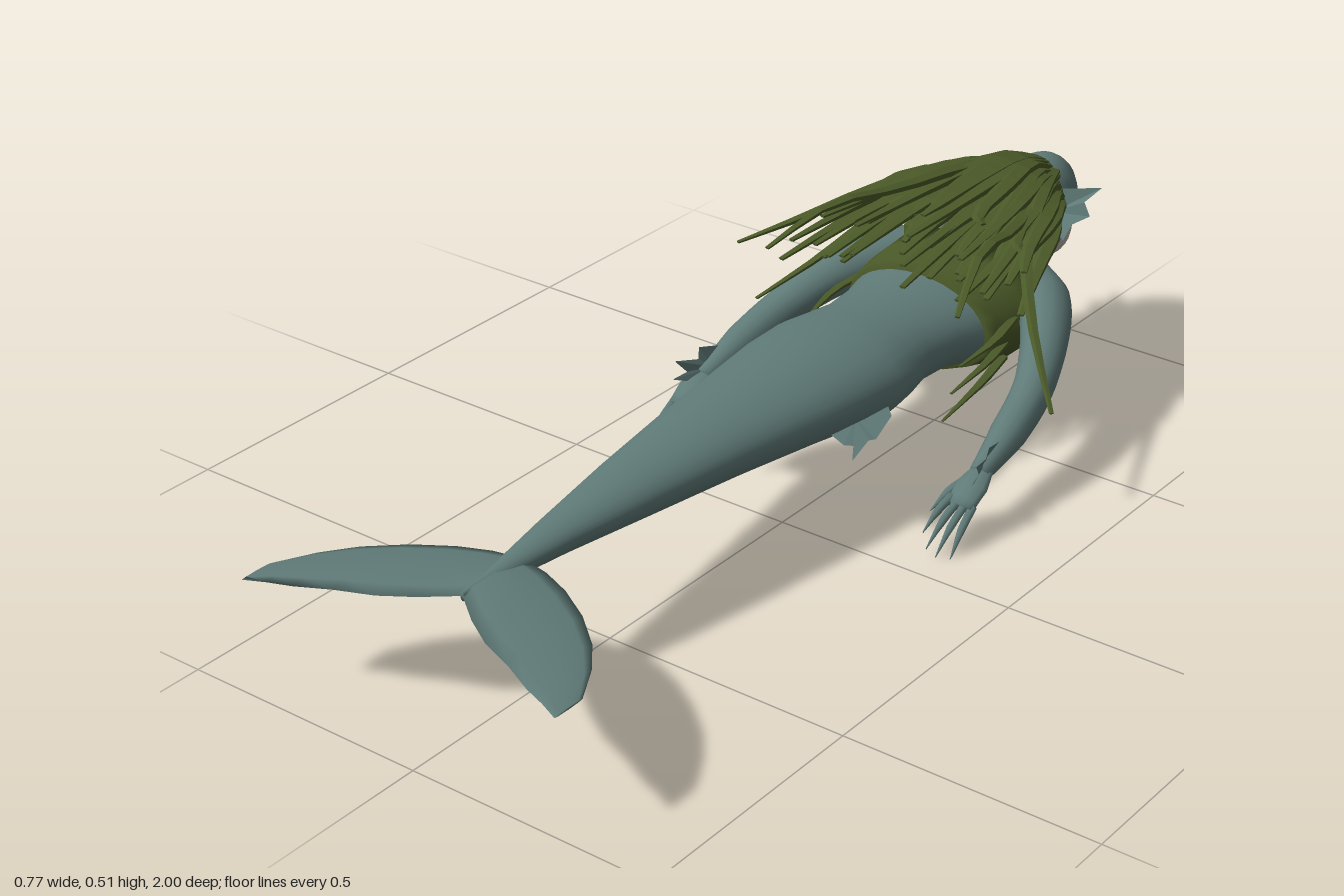
import * as THREE from 'three';

const V = (x, y, z) => new THREE.Vector3(x, y, z);
const paint = (name, color, side = THREE.FrontSide) => {
  const m = new THREE.MeshStandardMaterial({ color, side });
  m.name = name;
  return m;
};

export function createModel() {
  const skin = paint('sea skin', 0x5f7a77);
  const finSkin = paint('fin membrane', 0x5f7a77, THREE.DoubleSide);
  const weed = paint('seaweed', 0x4a5928);
  const pale = paint('pale face', 0xb9b3ac);

  const model = new THREE.Group();
  const figure = new THREE.Group();
  figure.name = 'figure';
  figure.position.x = -0.03; // the body sits a little off the middle
  model.add(figure);

  const add = (name, geometry, material, parent = figure) => {
    const mesh = new THREE.Mesh(geometry, material);
    mesh.name = name;
    parent.add(mesh);
    return mesh;
  };

  // Closed skin over elliptical rings; a station is { p, w, h, t }
  const sweep = (stations, sides, flat = false) => {
    const pos = [], idx = [], n = stations.length, up = V(0, 1, 0);
    for (const { p, w, h, t } of stations) {
      const across = t.clone().cross(up).normalize();
      const over = across.clone().cross(t).normalize();
      for (let j = 0; j < sides; j++) {
        const a = (j / sides) * Math.PI * 2;
        const q = p.clone().addScaledVector(across, Math.cos(a) * w).addScaledVector(over, Math.sin(a) * h);
        pos.push(q.x, q.y, q.z);
      }
    }
    pos.push(...stations[0].p.toArray(), ...stations[n - 1].p.toArray());
    for (let j = 0; j < sides; j++) {
      const k = (j + 1) % sides, last = (n - 1) * sides;
      for (let i = 0; i < n - 1; i++) {
        const r = i * sides, s = r + sides;
        idx.push(r + j, s + j, r + k, r + k, s + j, s + k);
      }
      idx.push(n * sides, j, k, n * sides + 1, last + k, last + j);
    }
    let g = new THREE.BufferGeometry();
    g.setAttribute('position', new THREE.Float32BufferAttribute(pos, 3));
    g.setIndex(idx);
    if (flat) g = g.toNonIndexed();
    g.computeVertexNormals();
    return g;
  };

  // Tapering limb or strand through points, with a radius for each point
  const taper = (points, radii, steps, sides, squash = 1, flat = false) => {
    const curve = new THREE.CatmullRomCurve3(points);
    const stations = [];
    for (let i = 0; i <= steps; i++) {
      const u = i / steps, f = u * (radii.length - 1);
      const k = Math.min(Math.floor(f), radii.length - 2);
      const r = THREE.MathUtils.lerp(radii[k], radii[k + 1], f - k);
      stations.push({ p: curve.getPoint(u), t: curve.getTangent(u), w: r, h: r * squash });
    }
    return sweep(stations, sides, flat);
  };

  // Thin spiky fin, fanned from its first point
  const fin = (points) => {
    const g = new THREE.BufferGeometry().setFromPoints(points);
    const idx = [];
    for (let i = 1; i < points.length - 1; i++) idx.push(0, i, i + 1);
    g.setIndex(idx);
    const out = g.toNonIndexed();
    out.computeVertexNormals();
    return out;
  };

  // Horizontal body sections: z, half width, top, bottom
  const alongZ = (rows, grow = 0) => rows.map(([z, w, top, bottom]) => (
    { p: V(0, (top + bottom) / 2, z), w: w + grow, h: (top - bottom) / 2 + grow, t: V(0, 0, 1) }));

  // Torso and tail
  add('torsoAndTail', sweep(alongZ([
    [-0.79, 0.045, 0.33, 0.23], [-0.765, 0.1, 0.335, 0.2], [-0.72, 0.155, 0.34, 0.165],
    [-0.66, 0.18, 0.34, 0.13], [-0.58, 0.183, 0.335, 0.113], [-0.5, 0.165, 0.325, 0.132],
    [-0.42, 0.14, 0.318, 0.15], [-0.33, 0.132, 0.316, 0.15], [-0.26, 0.147, 0.32, 0.143],
    [-0.2, 0.157, 0.325, 0.142], [-0.1, 0.15, 0.325, 0.152], [0, 0.135, 0.32, 0.165],
    [0.2, 0.105, 0.31, 0.185], [0.4, 0.075, 0.295, 0.2], [0.6, 0.042, 0.275, 0.215],
    [0.75, 0.018, 0.255, 0.222], [0.83, 0.005, 0.248, 0.23],
  ]), 32), skin);

  // Tail flukes, swept from tip to tip: x, leading edge, trailing edge, half thickness
  const fluke = [[0, 0.68, 0.83, 0.013], [0.06, 0.69, 0.875, 0.012], [0.12, 0.712, 0.91, 0.011],
    [0.19, 0.752, 0.935, 0.009], [0.255, 0.805, 0.965, 0.007], [0.3, 0.86, 0.98, 0.005], [0.34, 0.93, 0.997, 0.002]];
  const flukeAt = (s) => ([x, lead, trail, h]) => (
    { p: V(x * s, 0.24 - x * 0.035, (lead + trail) / 2), w: (trail - lead) / 2, h, t: V(1, 0, 0) });
  add('tailFlukes', sweep([...fluke.slice(1).reverse().map(flukeAt(-1)), ...fluke.map(flukeAt(1))]
    .map((s) => s), 8), skin);

  // Seaweed chest wrap
  add('chestWrap', sweep(alongZ([
    [-0.64, 0.182, 0.34, 0.122], [-0.58, 0.183, 0.335, 0.113], [-0.5, 0.165, 0.325, 0.132], [-0.475, 0.157, 0.322, 0.137],
  ], 0.009), 16), weed);

  // Neck, head and face
  add('neck', taper([V(0, 0.27, -0.74), V(0, 0.285, -0.81), V(0, 0.31, -0.89)], [0.065, 0.048, 0.05], 6, 16), skin);
  const ball = (name, x, y, z, rx, ry, rz, mat) => {
    const m = add(name, new THREE.SphereGeometry(1, 20, 14), mat);
    m.position.set(x, y, z);
    m.scale.set(rx, ry, rz);
    return m;
  };
  ball('skull', 0, 0.337, -0.908, 0.071, 0.086, 0.088, skin);
  ball('jaw', 0, 0.265, -0.908, 0.052, 0.062, 0.055, skin);
  ball('face', 0, 0.265, -0.937, 0.053, 0.072, 0.055, pale);
  ball('nose', 0, 0.262, -0.99, 0.009, 0.016, 0.01, pale);
  ball('lips', 0, 0.228, -0.976, 0.018, 0.007, 0.01, pale);
  ball('chin', 0, 0.205, -0.955, 0.02, 0.014, 0.018, pale);

  // Bead necklace
  const necklace = new THREE.Group();
  necklace.name = 'necklace';
  necklace.position.set(0, 0.275, -0.79);
  necklace.rotation.x = 0.25;
  figure.add(necklace);
  const beadShape = new THREE.SphereGeometry(0.008, 8, 6);
  for (let i = 0; i < 20; i++) {
    const a = (i / 20) * Math.PI * 2;
    add('bead', beadShape, pale, necklace).position.set(Math.cos(a) * 0.055, Math.sin(a) * 0.062, 0);
  }

  for (const s of [-1, 1]) {
    const P = (x, y, z) => V(x * s, y, z);
    const side = s > 0 ? 'left' : 'right';

    // Arm and hand
    add(side + 'Arm', taper([P(0.13, 0.26, -0.68), P(0.19, 0.255, -0.63), P(0.25, 0.225, -0.54),
      P(0.295, 0.18, -0.43), P(0.314, 0.142, -0.32), P(0.322, 0.108, -0.215)],
    [0.05, 0.054, 0.046, 0.039, 0.035, 0.02], 20, 14), skin);
    add(side + 'Palm', taper([P(0.322, 0.112, -0.23), P(0.325, 0.095, -0.185), P(0.326, 0.07, -0.145)],
      [0.02, 0.033, 0.029], 6, 10, 0.5), skin);
    [[0.355, 0.003, -0.075], [0.336, 0.01, -0.055], [0.315, 0.02, -0.055], [0.294, 0.038, -0.075]]
      .forEach(([x, y, z], i) => {
        const root = P(0.348 - i * 0.015, 0.073 + i * 0.003, -0.155);
        const tip = P(x, y, z);
        const knuckle = root.clone().lerp(tip, 0.5).add(V(0, 0.007, 0));
        add(side + 'Finger', taper([root, knuckle, tip], [0.009, 0.008, 0.001], 6, 6), skin);
      });
    add(side + 'Thumb', taper([P(0.31, 0.1, -0.2), P(0.288, 0.08, -0.165), P(0.276, 0.055, -0.125)],
      [0.011, 0.009, 0.001], 6, 6), skin);

    // Spiky fins on forearm, hip and ear
    add(side + 'ForearmFin', fin([P(0.32, 0.12, -0.24), P(0.322, 0.145, -0.3), P(0.338, 0.165, -0.22),
      P(0.335, 0.142, -0.215), P(0.35, 0.155, -0.16), P(0.34, 0.125, -0.185), P(0.348, 0.12, -0.15), P(0.325, 0.1, -0.2)]), finSkin);
    add(side + 'HipFin', fin([P(0.13, 0.215, -0.09), P(0.145, 0.215, -0.17), P(0.172, 0.21, -0.145), P(0.19, 0.2, -0.07),
      P(0.184, 0.202, -0.055), P(0.198, 0.195, 0.015), P(0.172, 0.2, -0.025), P(0.16, 0.203, -0.012), P(0.125, 0.21, -0.02)]), finSkin);
    add(side + 'EarFin', fin([P(0.055, 0.325, -0.87), P(0.06, 0.37, -0.89), P(0.13, 0.375, -0.932), P(0.11, 0.35, -0.9),
      P(0.127, 0.325, -0.895), P(0.104, 0.312, -0.865), P(0.1, 0.285, -0.84), P(0.055, 0.285, -0.87)]), finSkin);

    // Pearl and loose weed on the chest wrap
    ball(side + 'Pearl', 0.09 * s, 0.118, -0.575, 0.013, 0.013, 0.013, pale);
    for (let i = 0; i < 3; i++) {
      const y = 0.25 - i * 0.045, x = 0.172 - i * 0.01;
      add(side + 'WrapStrand', taper([P(x, y, -0.55), P(x + 0.015, y - 0.01, -0.46), P(x + 0.005 + i * 0.012, y - 0.025, -0.36 + i * 0.03)],
        [0.012, 0.01, 0.003], 5, 5, 0.5, true), weed);
    }
  }

  // Seaweed hair: strands fan back from the crown
  let seed = 11;
  const rnd = () => (seed = (seed * 16807) % 2147483647) / 2147483647;
  const hair = new THREE.Group();
  hair.name = 'hair';
  figure.add(hair);
  const strand = (points, thick = 1) => add('hairStrand',
    taper(points, [0.018, 0.026, 0.021, 0.015, 0.007].map((r) => r * thick), 9, 5, 0.45, true), weed, hair);
  const count = 44;
  for (let i = 0; i < count; i++) {
    const u = ((i + 0.5) / count) * 2 - 1, a = Math.abs(u), layer = (i % 3) * 0.024;
    const end = -0.33 - rnd() * 0.2 - a * 0.04;
    const lift = layer + rnd() * 0.012;
    const bend = (rnd() - 0.5) * 0.05;
    strand([
      V(u * 0.068, 0.418 - a * a * 0.08, -0.895 + a * 0.02),
      V(u * 0.105, 0.425 - a * a * 0.07 + lift * 0.5, -0.8),
      V(u * 0.175 + bend * 0.3, 0.405 - a * 0.04 + lift, -0.68),
      V(u * 0.21 + bend, 0.395 - a * 0.045 + lift, -0.55),
      V(u * 0.24 + bend * 1.6, 0.365 - a * 0.05 + lift * 1.4, end),
    ]);
  }
  // Long stray strands
  strand([V(-0.02, 0.42, -0.88), V(-0.05, 0.455, -0.7), V(-0.07, 0.475, -0.5), V(-0.085, 0.508, -0.29), V(-0.11, 0.472, -0.14)], 0.8);
  strand([V(0.05, 0.41, -0.88), V(0.12, 0.435, -0.72), V(0.19, 0.4, -0.56), V(0.29, 0.32, -0.43), V(0.41, 0.218, -0.315)], 0.7);
  strand([V(-0.05, 0.41, -0.88), V(-0.12, 0.43, -0.72), V(-0.19, 0.415, -0.56), V(-0.25, 0.39, -0.42), V(-0.31, 0.365, -0.31)], 0.8);
  strand([V(0.05, 0.4, -0.88), V(0.1, 0.42, -0.72), V(0.16, 0.43, -0.55), V(0.19, 0.45, -0.4), V(0.24, 0.39, -0.25)], 0.8);
  strand([V(-0.05, 0.4, -0.88), V(-0.11, 0.4, -0.72), V(-0.16, 0.37, -0.55), V(-0.2, 0.32, -0.42), V(-0.25, 0.27, -0.29)], 0.7);
  return model;
}
